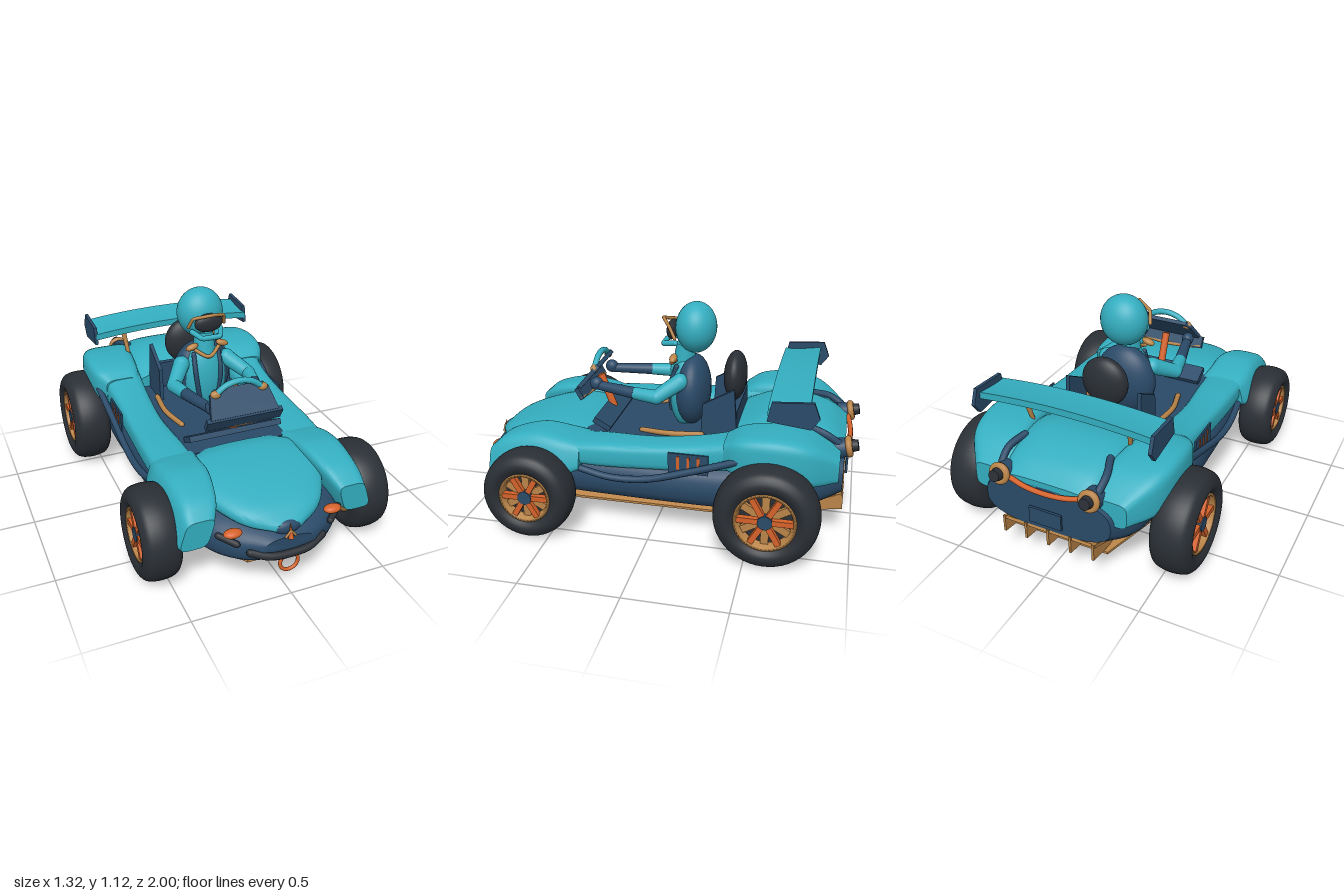
import * as THREE from 'three';
import { toCreasedNormals } from 'three/addons/utils/BufferGeometryUtils.js';

const mat = (name, color, side = THREE.FrontSide) => {
  const m = new THREE.MeshStandardMaterial({ color, side });
  m.name = name;
  return m;
};

const V = (p) => new THREE.Vector3(...p);

export function createModel() {
  const model = new THREE.Group();
  model.name = 'buggyWithDriver';
  const teal = mat('teal', 0x34aec0);
  const navy = mat('navy', 0x2a4a68);
  const black = mat('rubberBlack', 0x2a2f35);
  const tan = mat('tan', 0xb98448, THREE.DoubleSide);
  const orange = mat('orange', 0xd5622a);

  const add = (name, geo, m, pos = [0, 0, 0], rot = [0, 0, 0], parent = model) => {
    const mesh = new THREE.Mesh(geo, m);
    mesh.name = name;
    mesh.position.set(...pos);
    mesh.rotation.set(...rot);
    parent.add(mesh);
    return mesh;
  };
  const box = (name, m, size, pos, rot, parent) => add(name, new THREE.BoxGeometry(...size), m, pos, rot, parent);
  const ball = (name, m, r, pos, rot) => add(name, new THREE.SphereGeometry(1, 32, 20).scale(...r), m, pos, rot);
  const tube = (name, m, pts, r, smooth = true) => {
    const vs = pts.map(V);
    const path = smooth ? new THREE.CatmullRomCurve3(vs) : new THREE.CurvePath();
    if (!smooth) for (let i = 1; i < vs.length; i++) path.add(new THREE.LineCurve3(vs[i - 1], vs[i]));
    add(name, new THREE.TubeGeometry(path, 24, r, 10), m);
    for (const p of [pts[0], pts[pts.length - 1]]) add(name + 'End', new THREE.SphereGeometry(r, 10, 8), m, p);
  };
  // tapered limb between two points
  const limb = (name, m, a, b, ra, rb) => {
    const d = V(b).sub(V(a));
    const mesh = add(name, new THREE.CylinderGeometry(rb, ra, d.length(), 16), m, V(a).addScaledVector(d, 0.5).toArray());
    mesh.quaternion.setFromUnitVectors(new THREE.Vector3(0, 1, 0), d.normalize());
  };
  // flat outline extruded, centred on its depth
  const plate = (pts, depth) => {
    const shape = new THREE.Shape(pts.map((p) => new THREE.Vector2(...p)));
    return new THREE.ExtrudeGeometry(shape, { depth, bevelEnabled: false }).translate(0, 0, -depth / 2);
  };

  // rounded-box rings swept from front to back; rows are [z, x0, x1, y0, y1], lean pushes the bottom outward
  const loft = (name, m, rows, e, side = 1, lean = 0) => {
    const ca = new THREE.CatmullRomCurve3(rows.map((r) => V([r[0], r[1], r[2]])), false, 'catmullrom', 0.5);
    const cb = new THREE.CatmullRomCurve3(rows.map((r) => V([r[0], r[3], r[4]])), false, 'catmullrom', 0.5);
    const K = 36, N = (rows.length - 1) * 5, pos = [], idx = [], ends = [];
    const pw = (v) => Math.sign(v) * Math.pow(Math.abs(v), e);
    for (let i = 0; i <= N; i++) {
      const a = ca.getPoint(i / N), b = cb.getPoint(i / N);
      const cx = (a.y + a.z) / 2, cy = (b.y + b.z) / 2;
      if (i === 0 || i === N) ends.push(side * cx, cy, a.x);
      for (let k = 0; k < K; k++) {
        const t = (k / K) * Math.PI * 2;
        const dy = (pw(Math.sin(t)) * (b.z - b.y)) / 2;
        pos.push(side * (cx + (pw(Math.cos(t)) * (a.z - a.y)) / 2 - lean * dy), cy + dy, a.x);
      }
    }
    const tri = (a, b, c) => (side > 0 ? idx.push(a, b, c) : idx.push(a, c, b));
    const c0 = (N + 1) * K;
    pos.push(...ends);
    for (let k = 0; k < K; k++) {
      const n = (k + 1) % K;
      for (let i = 0; i < N; i++) {
        const p = i * K + k, q = i * K + n;
        tri(p, p + K, q);
        tri(q, p + K, q + K);
      }
      tri(c0, k, n);
      tri(c0 + 1, N * K + n, N * K + k);
    }
    const g = new THREE.BufferGeometry();
    g.setAttribute('position', new THREE.Float32BufferAttribute(pos, 3));
    g.setIndex(idx);
    add(name, toCreasedNormals(g, 0.7), m);
  };
  const sym = (rows) => rows.map(([z, w, y0, y1]) => [z, -w, w, y0, y1]);

  // body tub, hood and engine cover
  loft('lowerBody', navy, sym([[0.96, 0.13, 0.19, 0.3], [0.88, 0.26, 0.15, 0.335], [0.75, 0.36, 0.13, 0.38], [0.55, 0.41, 0.125, 0.42],
    [0.3, 0.445, 0.125, 0.44], [-0.35, 0.465, 0.125, 0.46], [-0.6, 0.42, 0.135, 0.48], [-0.8, 0.4, 0.18, 0.49], [-0.94, 0.33, 0.24, 0.48]]), 0.72);
  loft('hood', teal, sym([[0.94, 0.07, 0.32, 0.36], [0.87, 0.19, 0.32, 0.415], [0.76, 0.27, 0.33, 0.455], [0.6, 0.33, 0.34, 0.49],
    [0.46, 0.31, 0.36, 0.5], [0.37, 0.24, 0.38, 0.48]]), 0.75);
  loft('engineCover', teal, sym([[-0.4, 0.28, 0.4, 0.55], [-0.55, 0.28, 0.4, 0.615], [-0.7, 0.27, 0.4, 0.625], [-0.85, 0.25, 0.42, 0.58],
    [-0.94, 0.22, 0.46, 0.51]]), 0.65);
  box('cockpitDeck', navy, [0.6, 0.08, 0.82], [0, 0.43, -0.02]);

  // fenders, side pods and side details
  for (const s of [1, -1]) {
    loft('frontFender', teal, [[0.845, 0.335, 0.475, 0.265, 0.41], [0.76, 0.3, 0.49, 0.255, 0.475], [0.6, 0.27, 0.5, 0.27, 0.515],
      [0.46, 0.26, 0.5, 0.3, 0.5], [0.36, 0.24, 0.475, 0.34, 0.475]], 0.45, s, 0.3);
    loft('sidePod', teal, [[0.44, 0.24, 0.46, 0.36, 0.475], [0.25, 0.255, 0.465, 0.355, 0.49], [0, 0.275, 0.46, 0.365, 0.5],
      [-0.25, 0.265, 0.46, 0.38, 0.53], [-0.5, 0.25, 0.48, 0.42, 0.59]], 0.55, s);
    loft('rearFender', teal, [[-0.37, 0.28, 0.47, 0.42, 0.56], [-0.46, 0.26, 0.52, 0.4, 0.605], [-0.62, 0.24, 0.53, 0.38, 0.62],
      [-0.78, 0.22, 0.5, 0.37, 0.59], [-0.92, 0.22, 0.4, 0.37, 0.5]], 0.42, s);
    tube('sideRail', navy, [[0.46, 0.35, 0.36], [0.475, 0.325, 0.2], [0.48, 0.335, 0.02], [0.485, 0.4, -0.2], [0.5, 0.5, -0.47]].map(([x, y, z]) => [s * x, y, z]), 0.018);
    box('sidePanel', navy, [0.009, 0.105, 0.2], [s * 0.468, 0.437, -0.2]);
    for (const z of [-0.15, -0.2, -0.25]) box('sidePanelStripe', orange, [0.006, 0.07, 0.014], [s * 0.472, 0.44, z]);
    tube('cockpitTrim', tan, [[0.2, 0.475, 0.1], [0.235, 0.485, -0.05], [0.225, 0.49, -0.22]].map(([x, y, z]) => [s * x, y, z]), 0.014);
    tube('coverSeam', navy, [[0.23, 0.595, -0.74], [0.26, 0.57, -0.84], [0.25, 0.5, -0.945]].map(([x, y, z]) => [s * x, y, z]), 0.018);

    // head lamps and tail lamps
    ball('headLamp', orange, [0.045, 0.02, 0.03], [s * 0.255, 0.34, 0.89]);
    tube('lampBrow', black, [[s * 0.24, 0.285, 0.905], [s * 0.31, 0.315, 0.85]], 0.016);
    add('tailLampHousing', new THREE.CylinderGeometry(0.045, 0.055, 0.06, 20), navy, [s * 0.235, 0.495, -0.925], [-1.35, 0, 0]);
    add('tailLampRing', new THREE.TorusGeometry(0.038, 0.017, 10, 24), tan, [s * 0.235, 0.505, -0.958], [0.2, 0, 0]);
    add('tailLampLens', new THREE.CylinderGeometry(0.028, 0.034, 0.05, 20), black, [s * 0.235, 0.512, -0.978], [-1.35, 0, 0]);

    // wing support and end plate
    limb('wingStrut', tan, [s * 0.265, 0.59, -0.61], [s * 0.285, 0.75, -0.65], 0.01, 0.016);
    add('wingEndPlate', plate([[0.57, 0.7], [0.59, 0.795], [0.785, 0.808], [0.815, 0.73], [0.775, 0.675]], 0.018), navy, [s * 0.46, 0, 0], [0, Math.PI / 2, 0]);
  }

  // rear wing, arched across the span
  const wing = new THREE.BoxGeometry(0.92, 0.035, 0.195, 20, 1, 6);
  const wp = wing.attributes.position;
  for (let i = 0; i < wp.count; i++) {
    const x = wp.getX(i), z = wp.getZ(i);
    wp.setY(i, wp.getY(i) + 0.026 * (1 - (x / 0.46) ** 2) - 0.1 * z + 0.5 * z * z);
  }
  add('rearWing', toCreasedNormals(wing, 0.6), teal, [0, 0.748, -0.67]);

  // floor pan and rear diffuser
  const half = [[0.13, 0.8], [0.26, 0.58], [0.3, 0.4], [0.3, -0.5], [0.22, -0.79]];
  const outline = [...half, ...half.map(([x, z]) => [-x, z]).reverse()];
  const pan = new THREE.Shape(outline.map(([x, z]) => new THREE.Vector2(x, z)));
  add('floorPan', new THREE.ExtrudeGeometry(pan, { depth: 0.012, bevelSize: 0.05, bevelThickness: 0.02, bevelSegments: 1 }), tan, [0, 0.128, 0], [Math.PI / 2, 0, 0]);
  box('diffuserRamp', tan, [0.5, 0.015, 0.2], [0, 0.2, -0.85], [0.4, 0, 0]);
  for (let i = 0; i < 5; i++) add('diffuserFin', plate([[0.76, 0.13], [0.95, 0.16], [0.95, 0.25], [0.76, 0.18]], 0.012), tan, [(i - 2) * 0.12, 0, 0], [0, Math.PI / 2, 0]);

  // nose and tail fittings
  tube('frontBumper', black, [[-0.185, 0.24, 0.93], [-0.1, 0.22, 0.965], [0, 0.215, 0.972], [0.1, 0.22, 0.965], [0.185, 0.24, 0.93]], 0.019);
  add('towRing', new THREE.TorusGeometry(0.046, 0.009, 10, 28), orange, [0, 0.16, 0.96]);
  ball('noseVent', navy, [0.07, 0.035, 0.03], [0, 0.335, 0.925]);
  add('noseSpike', new THREE.ConeGeometry(0.013, 0.08, 12), orange, [0, 0.335, 0.962], [-0.2, 0, 0]);
  for (const s of [1, -1]) tube('noseSpikeWing', tan, [[0, 0.335, 0.965], [s * 0.025, 0.305, 0.965]], 0.006);
  tube('tailBar', orange, [[-0.19, 0.49, -0.945], [-0.1, 0.475, -0.958], [0, 0.47, -0.962], [0.1, 0.475, -0.958], [0.19, 0.49, -0.945]], 0.013);
  box('tailPlate', navy, [0.17, 0.085, 0.012], [0, 0.325, -0.956]);

  // wheels
  const wheel = (name, s, R, rim, width, x, z) => {
    const g = new THREE.Group();
    g.name = name;
    const h = width / 2;
    const prof = [[rim, -h * 0.82], [rim + 0.03, -h], [R * 0.82, -h * 0.97], [R * 0.95, -h * 0.72], [R, -h * 0.25], [R, h * 0.25],
      [R * 0.95, h * 0.72], [R * 0.82, h * 0.97], [rim + 0.03, h], [rim, h * 0.82]].map((q) => new THREE.Vector2(...q));
    const lathe = (p) => new THREE.LatheGeometry(p, 48).rotateZ(-Math.PI / 2);
    add('tyre', lathe(new THREE.SplineCurve(prof).getPoints(36)), black, undefined, undefined, g);
    const barrel = [[rim - 0.014, -h * 0.84], [rim + 0.004, -h * 0.86], [rim, h * 0.86], [rim - 0.014, h * 0.84], [rim - 0.024, h * 0.4]];
    add('rimBarrel', lathe(barrel.map((q) => new THREE.Vector2(...q))), tan, undefined, undefined, g);
    add('rimBack', new THREE.CylinderGeometry(rim, rim, 0.02, 32).rotateZ(Math.PI / 2), black, undefined, undefined, g);
    for (const f of [1, -1]) for (let i = 0; i < 6; i++) {
      const a = (i * Math.PI) / 3 + Math.PI / 6, b = a + Math.PI / 6, r = rim * 0.55;
      box('spoke', orange, [0.03, rim * 0.88, 0.028], [f * h * 0.65, Math.cos(a) * r, Math.sin(a) * r], [a, 0, 0], g);
      box('innerSpoke', tan, [0.02, rim * 0.85, 0.038], [f * h * 0.45, Math.cos(b) * r, Math.sin(b) * r], [b, 0, 0], g);
    }
    add('hub', new THREE.CylinderGeometry(0.036, 0.036, width * 0.85, 16).rotateZ(Math.PI / 2), navy, undefined, undefined, g);
    g.position.set(s * x, R + 0.004, z);
    if (s < 0) g.rotation.y = Math.PI;
    model.add(g);
  };
  for (const s of [1, -1]) {
    wheel('frontWheel', s, 0.232, 0.133, 0.19, 0.548, 0.6);
    wheel('rearWheel', s, 0.256, 0.15, 0.205, 0.557, -0.6);
  }

  // seat
  ball('headrest', black, [0.125, 0.13, 0.06], [0, 0.745, -0.355]);
  for (const s of [1, -1]) add('seatSide', plate([[0.21, 0.46], [0.22, 0.65], [0.38, 0.74], [0.4, 0.46]], 0.02), navy, [s * 0.2, 0, 0], [0, Math.PI / 2, 0]);
  box('seatBack', navy, [0.4, 0.16, 0.03], [0, 0.54, -0.38]);

  // dashboard, steering column and handle
  const dash = plate([[-0.13, 0.075], [0.13, 0.075], [0.155, 0.05], [0.18, -0.075], [-0.18, -0.075], [-0.155, 0.05]], 0.022);
  add('dashPanel', dash, navy, [0, 0.725, 0.402], [-0.7, 0, 0]);
  box('dashLip', navy, [0.4, 0.065, 0.025], [0, 0.643, 0.438], [0.5, 0, 0]);
  tube('dashTrim', tan, [[-0.19, 0.625, 0.425], [0, 0.607, 0.42], [0.19, 0.625, 0.425]], 0.011);
  limb('steeringColumn', orange, [0, 0.51, 0.31], [0, 0.69, 0.38], 0.02, 0.02);
  tube('steeringHandle', teal, [[-0.12, 0.77, 0.375], [-0.07, 0.805, 0.375], [0, 0.82, 0.375], [0.07, 0.805, 0.375], [0.12, 0.77, 0.375]], 0.016);
  box('deckCrossbar', navy, [0.5, 0.03, 0.1], [0, 0.505, 0.305], [-0.5, 0, 0]);

  // driver
  ball('torso', teal, [0.12, 0.2, 0.085], [0, 0.64, -0.09]);
  ball('jacketBack', navy, [0.165, 0.19, 0.095], [0, 0.65, -0.13]);
  limb('neck', teal, [0, 0.78, -0.08], [0, 0.9, -0.09], 0.06, 0.05);
  ball('head', teal, [0.125, 0.133, 0.107], [0, 0.99, -0.143]);
  ball('visor', black, [0.078, 0.05, 0.03], [0, 0.972, -0.02]);
  tube('visorFrame', tan, [[-0.1, 0.95, -0.05], [-0.085, 1.005, -0.02], [0, 1.03, 0.03], [0.085, 1.005, -0.02], [0.1, 0.95, -0.05]], 0.009, false);
  tube('chinGuard', teal, [[-0.08, 0.92, -0.05], [-0.05, 0.905, 0.02], [0.05, 0.905, 0.02], [0.08, 0.92, -0.05]], 0.014, false);
  tube('collar', tan, [[-0.075, 0.825, -0.05], [0, 0.785, -0.01], [0.075, 0.825, -0.05]], 0.01);
  for (const s of [1, -1]) {
    ball('collarClip', tan, [0.035, 0.017, 0.02], [s * 0.085, 0.84, -0.04], [0, 0, s * -0.3]);
    tube('harnessStrap', navy, [[s * 0.07, 0.79, -0.055], [s * 0.07, 0.68, -0.02], [s * 0.05, 0.55, -0.025]], 0.013);
    ball('shoulder', teal, [0.045, 0.045, 0.045], [s * 0.13, 0.73, -0.085]);
    limb('upperArm', teal, [s * 0.13, 0.73, -0.085], [s * 0.212, 0.668, 0.02], 0.044, 0.037);
    ball('elbow', teal, [0.037, 0.037, 0.037], [s * 0.212, 0.668, 0.02]);
    limb('sleeve', teal, [s * 0.212, 0.668, 0.02], [s * 0.19, 0.672, 0.14], 0.037, 0.032);
    limb('forearm', navy, [s * 0.19, 0.672, 0.14], [s * 0.14, 0.68, 0.35], 0.031, 0.025);
    ball('glove', navy, [0.032, 0.035, 0.035], [s * 0.14, 0.69, 0.36]);
    ball('handleGrip', tan, [0.028, 0.022, 0.02], [s * 0.125, 0.765, 0.375]);
  }
  return model;
}
